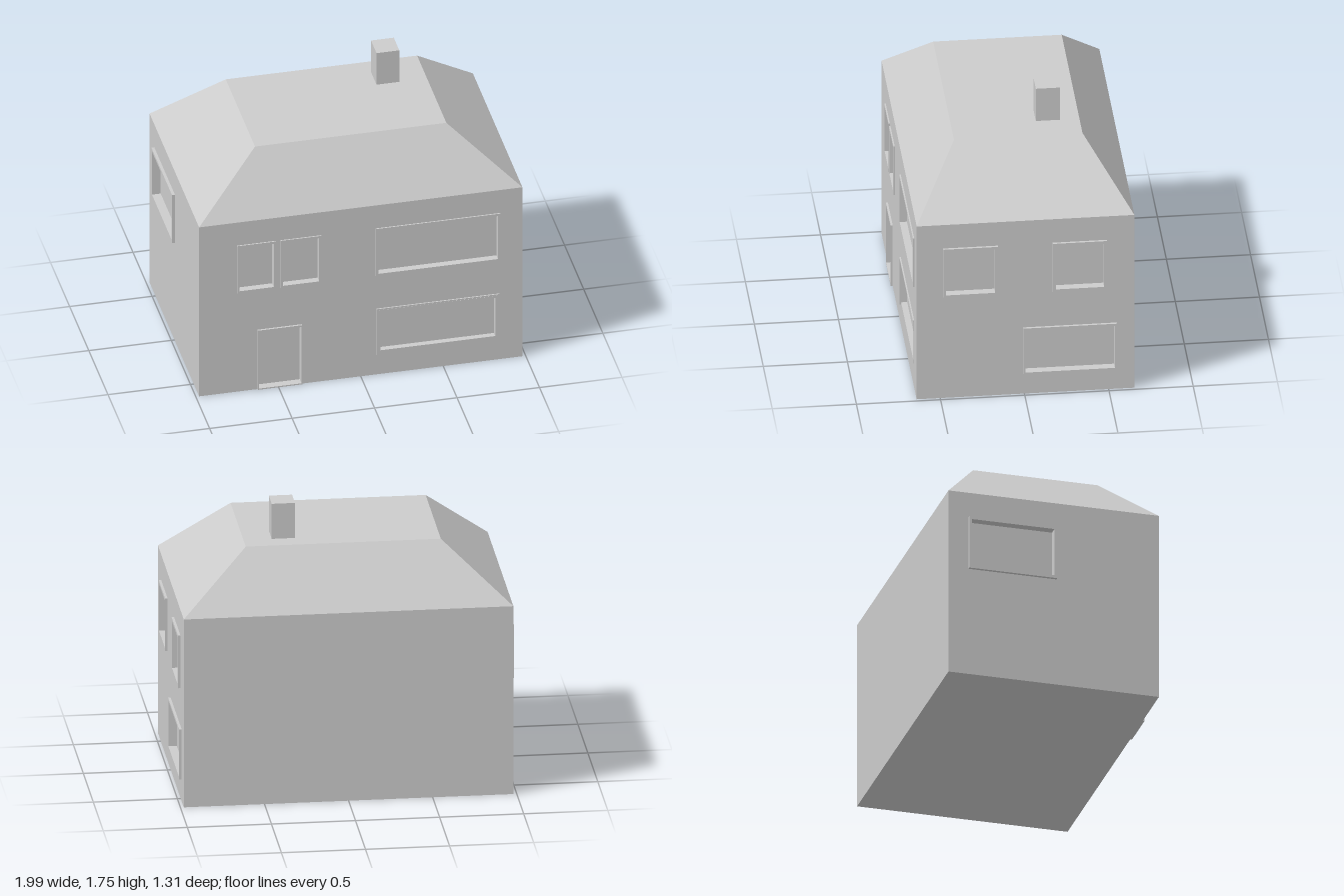
import * as THREE from 'three';

const HALF_W = 0.98, FRONT = 0.64, BACK = -0.653, EAVES = 1.18, RIDGE = 1.525;
const RECESS = 0.035;
const material = new THREE.MeshStandardMaterial({ color: 0xcccccc, flatShading: true });

function addMesh(parent, name, geometry, x = 0, y = 0, z = 0) {
  const mesh = new THREE.Mesh(geometry, material);
  mesh.name = name;
  mesh.position.set(x, y, z);
  parent.add(mesh);
  return mesh;
}

// Rectangle outline usable as a shape or a hole
function rect(Type, [u0, u1, v0, v1]) {
  return new Type([[u0, v0], [u1, v0], [u1, v1], [u0, v1]].map(([u, v]) => new THREE.Vector2(u, v)));
}

// Raised surround with deep reveals and a recessed pane; the wall face is local z = 0
function addOpening(wall, { name, outer, inner, proud }) {
  const ring = rect(THREE.Shape, outer);
  ring.holes.push(rect(THREE.Path, inner));
  const frame = new THREE.ExtrudeGeometry(ring, { depth: RECESS + proud, bevelEnabled: false });
  addMesh(wall, name + 'Frame', frame, 0, 0, -RECESS);
  const [u0, u1, v0, v1] = inner;
  addMesh(wall, name + 'Pane', new THREE.PlaneGeometry(u1 - u0, v1 - v0), (u0 + u1) / 2, (v0 + v1) / 2, -RECESS);
}

// Flat wall with openings, u running to the right as seen from outside
function makeWall(name, u0, u1, openings) {
  const wall = new THREE.Group();
  wall.name = name;
  const shape = rect(THREE.Shape, [u0, u1, 0, EAVES]);
  for (const opening of openings) {
    shape.holes.push(rect(THREE.Path, opening.inner));
    addOpening(wall, opening);
  }
  addMesh(wall, name + 'Face', new THREE.ShapeGeometry(shape));
  return wall;
}

function windowAt(name, u0, u1, v0, v1, border, proud) {
  return { name, proud, outer: [u0, u1, v0, v1], inner: [u0 + border, u1 - border, v0 + border, v1 - border] };
}

// Truncated hipped roof: two rectangular loops joined by slopes and capped
function roofGeometry() {
  const lower = [[-HALF_W, FRONT], [HALF_W, FRONT], [HALF_W, BACK], [-HALF_W, BACK]];
  const upper = [[-0.58, 0.376], [0.58, 0.376], [0.58, -0.387], [-0.58, -0.387]];
  const points = [];
  const index = [];
  for (const [x, z] of lower) points.push(x, EAVES, z);
  for (const [x, z] of upper) points.push(x, RIDGE, z);
  for (let i = 0; i < 4; i++) {
    const j = (i + 1) % 4;
    index.push(i, j, 4 + j, i, 4 + j, 4 + i);
  }
  index.push(4, 5, 6, 4, 6, 7);
  const geometry = new THREE.BufferGeometry();
  geometry.setAttribute('position', new THREE.Float32BufferAttribute(points, 3));
  geometry.setIndex(index);
  const flat = geometry.toNonIndexed();
  flat.computeVertexNormals();
  return flat;
}

export function createModel() {
  const house = new THREE.Group();
  house.name = 'house';

  // Front wall: door and four windows
  const front = makeWall('frontWall', -HALF_W, HALF_W, [
    windowAt('upperLeftWindow', -0.75, -0.515, 0.69, 1.02, 0.014, 0.008),
    windowAt('upperMiddleWindow', -0.487, -0.24, 0.69, 1.02, 0.014, 0.008),
    windowAt('upperWideWindow', 0.09, 0.845, 0.69, 1.02, 0.015, 0.008),
    { name: 'lowerWideWindow', proud: 0.001, outer: [0.107, 0.825, 0.155, 0.445], inner: [0.12, 0.815, 0.165, 0.432] },
    { name: 'door', proud: 0.012, outer: [-0.627, -0.357, 0.002, 0.415], inner: [-0.62, -0.362, 0.01, 0.403] },
  ]);
  front.position.z = FRONT;
  // Thin trim beside and above the lower wide window
  addMesh(front, 'lowerWindowSideTrim', new THREE.BoxGeometry(0.008, 0.315, 0.016), 0.099, 0.2975, 0);
  addMesh(front, 'lowerWindowTopTrim', new THREE.BoxGeometry(0.745, 0.008, 0.016), 0.4675, 0.455, 0);

  // Side wall at +x: u = -z
  const left = makeWall('leftWall', -FRONT, -BACK, [
    windowAt('upperFrontWindow', -0.483, -0.158, 0.69, 1.02, 0.017, 0.015),
    windowAt('upperRearWindow', 0.167, 0.49, 0.69, 1.02, 0.018, 0.015),
    windowAt('lowerWindow', -0.008, 0.55, 0.137, 0.452, 0.014, 0.015),
  ]);
  left.rotation.y = Math.PI / 2;
  left.position.x = HALF_W;

  // Side wall at -x: u = z
  const right = makeWall('rightWall', BACK, FRONT, [
    windowAt('upperWindow', -0.53, 0.01, 0.685, 1.02, 0.017, 0.018),
  ]);
  right.rotation.y = -Math.PI / 2;
  right.position.x = -HALF_W;

  // Plain back wall
  const back = makeWall('backWall', -HALF_W, HALF_W, []);
  back.rotation.y = Math.PI;
  back.position.z = BACK;
  house.add(front, left, right, back);

  // Floor, roof and chimney
  const floor = addMesh(house, 'floor', new THREE.PlaneGeometry(2 * HALF_W, FRONT - BACK), 0, 0, (FRONT + BACK) / 2);
  floor.rotation.x = Math.PI / 2;
  addMesh(house, 'roof', roofGeometry());
  addMesh(house, 'chimney', new THREE.BoxGeometry(0.138, 0.24, 0.144), 0.343, 1.625, -0.2);

  return house;
}
